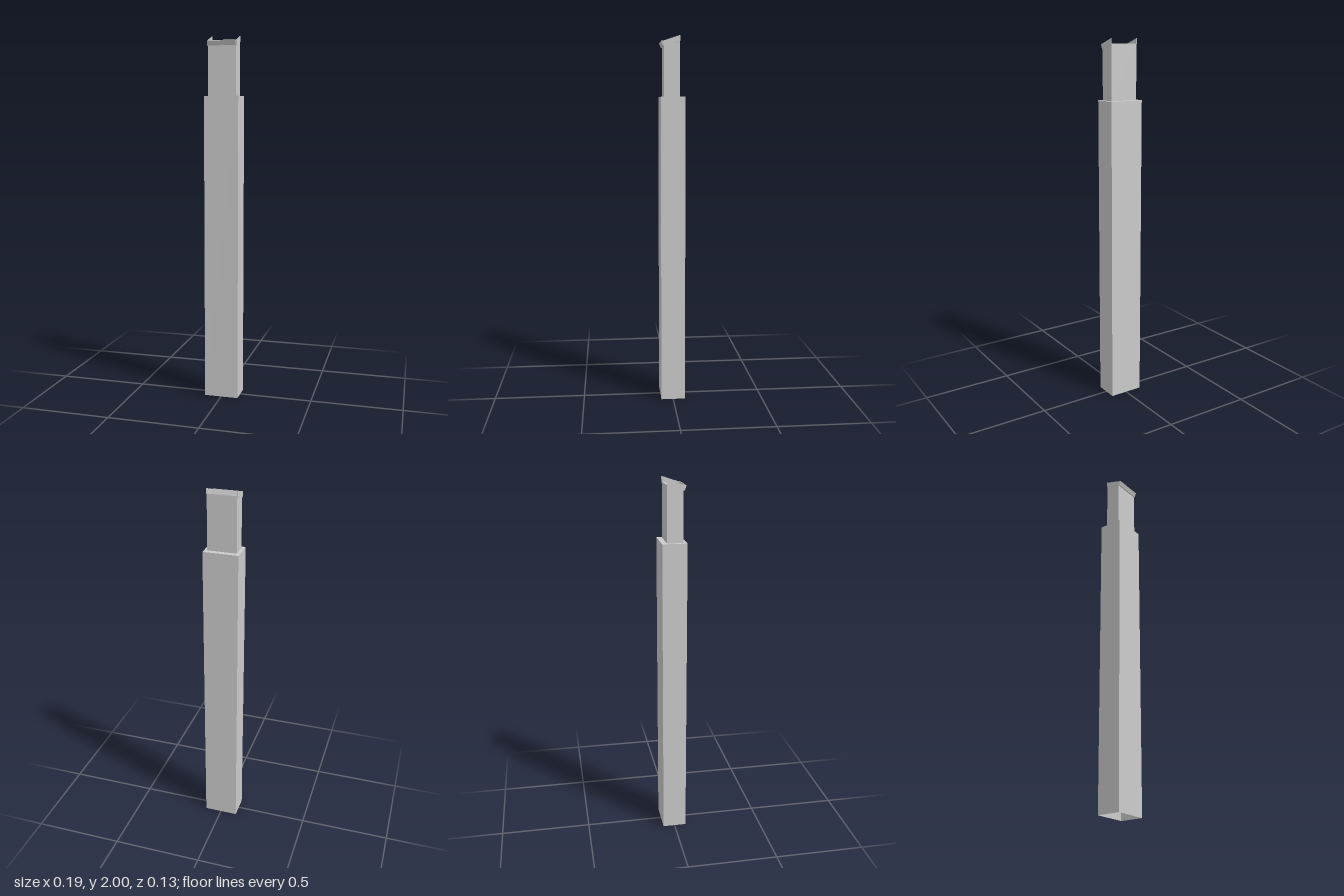
import * as THREE from 'three';

const mat = new THREE.MeshStandardMaterial({ color: 0xcccccc, flatShading: true, side: THREE.DoubleSide });

// Extrude a side profile of [z, y] points across the width, from x0 to x1
function slab(name, profile, x0, x1) {
  const shape = new THREE.Shape(profile.map(([z, y]) => new THREE.Vector2(-z, y)));
  const geo = new THREE.ExtrudeGeometry(shape, { depth: x1 - x0, bevelEnabled: false });
  geo.rotateY(Math.PI / 2).translate(x0, 0, 0);
  const mesh = new THREE.Mesh(geo, mat);
  mesh.name = name;
  return mesh;
}

// Box shell with an open bottom
function openColumn(name, w, y0, y1, z0, z1) {
  const geo = new THREE.BoxGeometry(w, y1 - y0, z1 - z0);
  const bottom = geo.groups[3];
  const index = Array.from(geo.index.array);
  index.splice(bottom.start, bottom.count);
  geo.setIndex(index);
  geo.clearGroups();
  geo.translate(0, (y0 + y1) / 2, (z0 + z1) / 2);
  const mesh = new THREE.Mesh(geo, mat);
  mesh.name = name;
  return mesh;
}

export function createModel() {
  const group = new THREE.Group();
  group.name = 'pedestal';

  // Wide hollow lower column
  group.add(openColumn('lowerColumn', 0.19, 0, 1.68, -0.066, 0.066));

  // Narrower neck whose top slopes down to the front
  group.add(slab('neck', [[-0.038, 1.68], [0.047, 1.68], [0.047, 1.945], [-0.038, 1.972]], -0.078, 0.078));

  // Thin cheeks rising beside the sloping top
  const cheek = [[-0.04, 1.97], [0.046, 1.942], [0.055, 1.969], [-0.04, 2]];
  for (const s of [-1, 1]) {
    const inner = s * 0.078, outer = s * 0.081;
    group.add(slab(s > 0 ? 'leftCheek' : 'rightCheek', cheek, Math.min(inner, outer), Math.max(inner, outer)));
  }

  // Front ledge, square to the slope and so leaning forward
  group.add(slab('frontLedge', [[0.045, 1.946], [0.053, 1.944], [0.062, 1.969], [0.054, 1.972]], -0.078, 0.078));

  return group;
}
